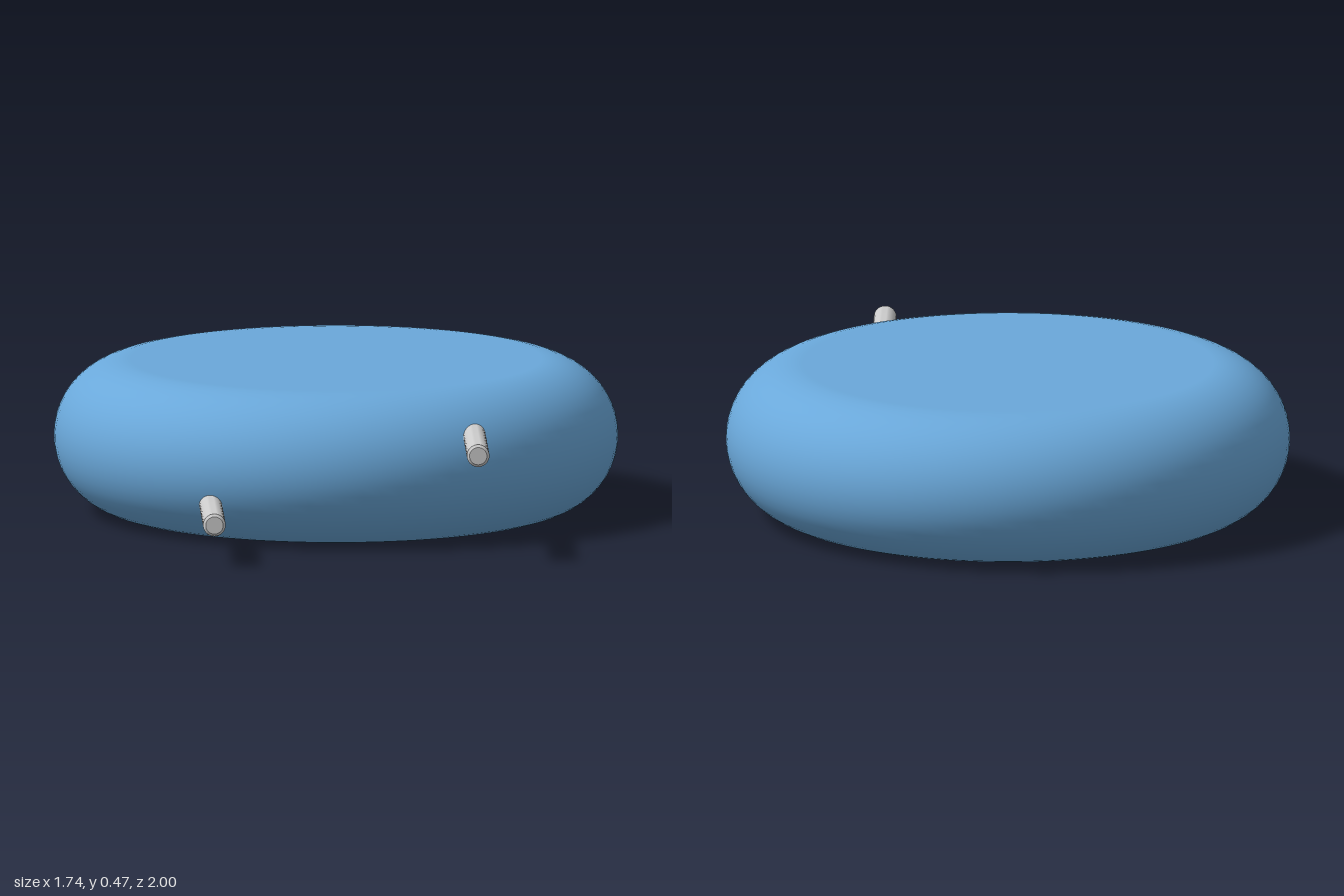
import * as THREE from 'three';
import { toCreasedNormals } from 'three/addons/utils/BufferGeometryUtils.js';

const R = 0.872;         // body radius
const EDGE = 0.236;      // radius of the fully rounded rim (half the height)
const CENTRE_Z = -0.128;

export function createModel() {
  const model = new THREE.Group();
  const blue = new THREE.MeshStandardMaterial({ color: 0x6aa8da });
  const grey = new THREE.MeshStandardMaterial({ color: 0xcccccc });

  // Disc body: flat faces joined by a half-round rim
  const profile = [new THREE.Vector2(0, 0)];
  for (let i = 0; i <= 24; i++) {
    const a = -Math.PI / 2 + (Math.PI * i) / 24;
    profile.push(new THREE.Vector2(R - EDGE + EDGE * Math.cos(a), EDGE + EDGE * Math.sin(a)));
  }
  profile.push(new THREE.Vector2(0, 2 * EDGE));
  const body = new THREE.Mesh(new THREE.LatheGeometry(profile, 96), blue);
  body.name = 'discBody';
  body.position.z = CENTRE_Z;
  model.add(body);

  // Wire leads: round pins with a small bevel at the free end
  const r = 0.035, bevel = 0.008, start = 0.45, end = 1;
  const leadProfile = [
    [0, start], [r, start], [r, end - bevel], [r - bevel, end], [0, end],
  ].map(([x, y]) => new THREE.Vector2(x, y));
  const leadGeometry = toCreasedNormals(new THREE.LatheGeometry(leadProfile, 32), 0.6);
  leadGeometry.rotateX(Math.PI / 2);
  for (const [name, x, y] of [['leftLead', 0.406, 0.345], ['rightLead', -0.409, 0.132]]) {
    const lead = new THREE.Mesh(leadGeometry, grey);
    lead.name = name;
    lead.position.set(x, y, 0);
    model.add(lead);
  }
  return model;
}
